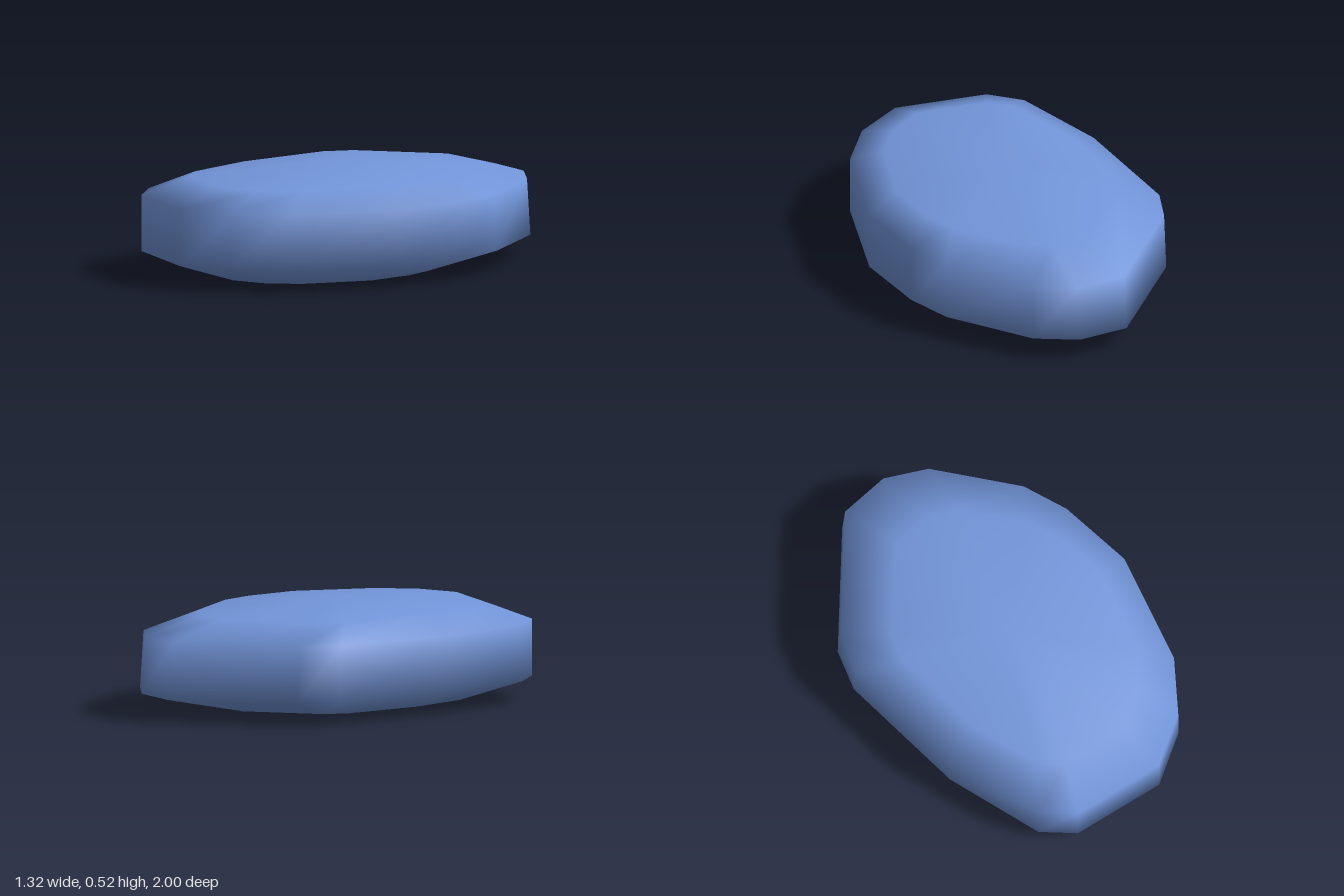
import * as THREE from 'three';

// Plan outline of the stone as [x, z], clockwise seen from above
const OUTLINE = [
  [-0.12, -1.0], [0.13, -0.99], [0.32, -0.87], [0.58, -0.48], [0.645, -0.25],
  [0.66, 0.13], [0.47, 0.66], [0.28, 0.88], [0.03, 1.0], [-0.42, 0.9],
  [-0.55, 0.76], [-0.66, 0.27], [-0.66, -0.38], [-0.58, -0.57],
];

// Rings from bottom to top: height, outline scale and shift
const RINGS = [
  { y: 0.01, sx: 0.63, sz: 0.61, dx: 0.015, dz: 0.08 },
  { y: 0.11, sx: 1, sz: 1, dx: 0, dz: 0 },
  { y: 0.385, sx: 0.995, sz: 0.99, dx: 0, dz: 0.01 },
  { y: 0.47, sx: 0.745, sz: 0.72, dx: 0.01, dz: 0.05 },
];

function stoneGeometry() {
  const n = OUTLINE.length;
  const positions = [];
  const index = [];
  for (const r of RINGS) {
    for (const [x, z] of OUTLINE) positions.push(x * r.sx + r.dx, r.y, z * r.sz + r.dz);
  }
  const bottom = n * RINGS.length;
  const top = bottom + 1;
  positions.push(0.03, 0, 0.05, -0.03, 0.525, 0.03);

  for (let i = 0; i < n; i++) {
    const j = (i + 1) % n;
    // Side bands
    for (let k = 0; k < RINGS.length - 1; k++) {
      const lo = k * n;
      const hi = lo + n;
      index.push(lo + i, hi + i, lo + j, lo + j, hi + i, hi + j);
    }
    // Shallow underside and crown
    const last = (RINGS.length - 1) * n;
    index.push(bottom, i, j, top, last + j, last + i);
  }

  const geometry = new THREE.BufferGeometry();
  geometry.setAttribute('position', new THREE.Float32BufferAttribute(positions, 3));
  geometry.setIndex(index);
  geometry.computeVertexNormals();
  return geometry;
}

export function createModel() {
  const group = new THREE.Group();
  group.name = 'flatStone';
  const blue = new THREE.MeshStandardMaterial({ color: 0x7396db });
  blue.name = 'stone blue';
  const stone = new THREE.Mesh(stoneGeometry(), blue);
  stone.name = 'stone';
  group.add(stone);
  return group;
}
